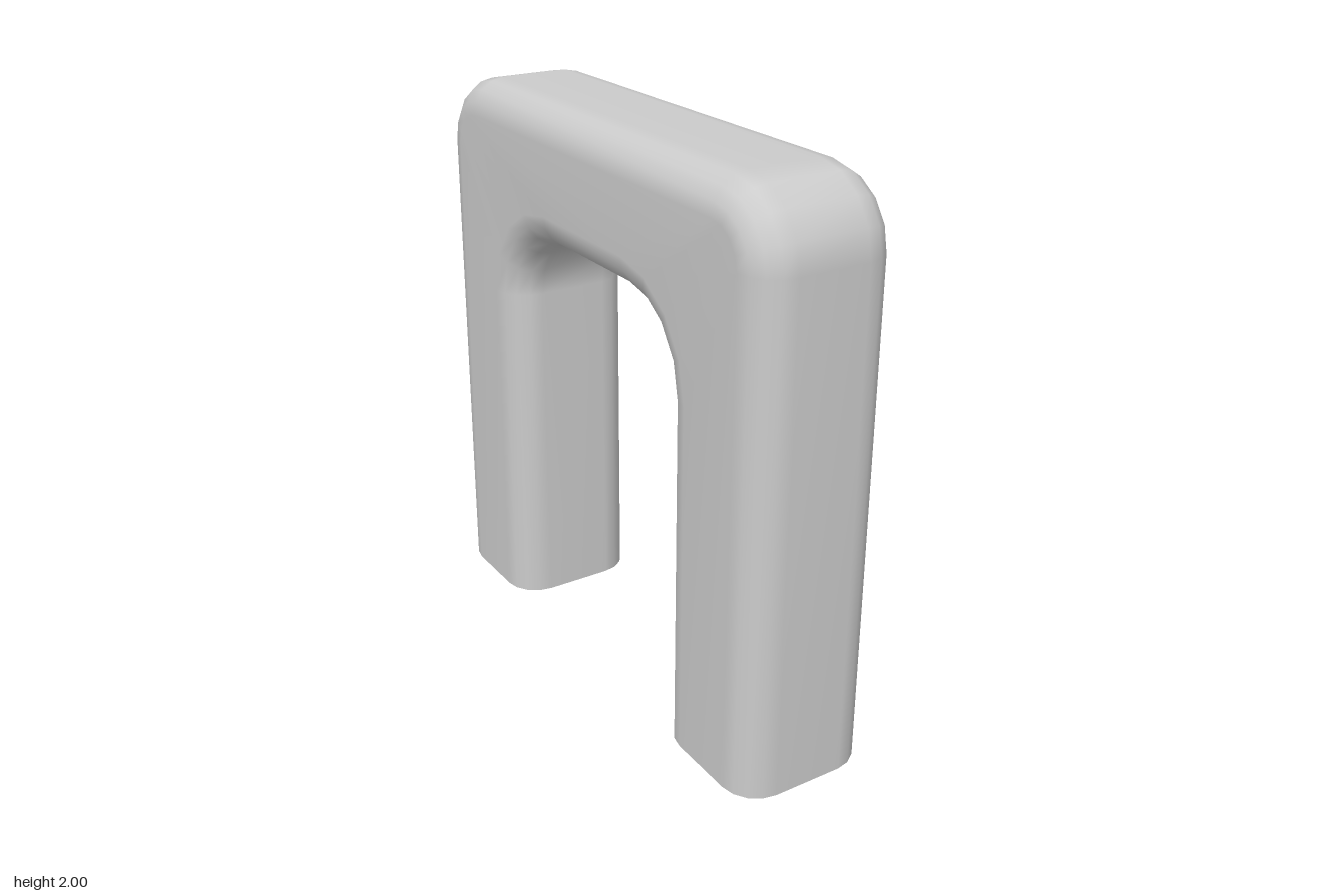
import * as THREE from 'three';

const HALF = 0.25;   // half thickness of the bar
const EDGE = 0.125;  // rounding of the bar's long edges
const STEPS = 4;     // segments per rounded corner

// Rounded-square section: x across, s outwards (s > 0 is the outer side of the arch)
function sectionPoints() {
  const points = [];
  for (let corner = 0; corner < 4; corner++) {
    const mid = Math.PI / 4 + corner * Math.PI / 2;
    const cx = Math.sign(Math.cos(mid)) * (HALF - EDGE);
    const cs = Math.sign(Math.sin(mid)) * (HALF - EDGE);
    for (let k = 0; k <= STEPS; k++) {
      const a = (corner + k / STEPS) * Math.PI / 2;
      points.push([cx + EDGE * Math.cos(a), cs + EDGE * Math.sin(a)]);
    }
  }
  return points;
}

// Stations along the arch: foot, front bend, back bend, foot
function stations() {
  const list = [{ angle: 0, side: 1, foot: true }];
  for (const side of [1, -1]) {
    for (let k = 0; k <= STEPS; k++) {
      const t = side > 0 ? k / STEPS : 1 + k / STEPS;
      list.push({ angle: t * Math.PI / 2, side, foot: false });
    }
  }
  list.push({ angle: Math.PI, side: -1, foot: true });
  return list;
}

function archGeometry() {
  const section = sectionPoints();
  const path = stations();
  const n = section.length;
  const positions = [];
  const index = [];

  // Outer and inner bends each turn about their own centre
  for (const { angle, side, foot } of path) {
    for (const [x, s] of section) {
      const outer = s > 0;
      const radius = outer ? s : 2 * HALF + s;
      const y = (outer ? 1.75 : 1.25) + radius * Math.sin(angle);
      const z = side * (outer ? 0.75 : 0.25) + radius * Math.cos(angle);
      positions.push(x, foot ? 0 : y, z);
    }
  }
  for (let i = 0; i < path.length - 1; i++) {
    for (let j = 0; j < n; j++) {
      const k = (j + 1) % n;
      const a = i * n + j, b = i * n + k, c = a + n, d = b + n;
      index.push(a, c, b, b, c, d);
    }
  }

  // Flat soles with their own vertices, so their edges stay sharp
  for (const row of [0, path.length - 1]) {
    const base = positions.length / 3;
    positions.push(...positions.slice(row * n * 3, (row + 1) * n * 3));
    for (let j = 1; j < n - 1; j++) {
      if (row === 0) index.push(base, base + j, base + j + 1);
      else index.push(base, base + j + 1, base + j);
    }
  }

  const geometry = new THREE.BufferGeometry();
  geometry.setAttribute('position', new THREE.Float32BufferAttribute(positions, 3));
  geometry.setIndex(index);
  geometry.computeVertexNormals();
  return geometry;
}

export function createModel() {
  const group = new THREE.Group();
  group.name = 'archModel';
  const arch = new THREE.Mesh(archGeometry(), new THREE.MeshStandardMaterial({ color: 0xcccccc }));
  arch.name = 'roundedArch';
  group.add(arch);
  return group;
}
